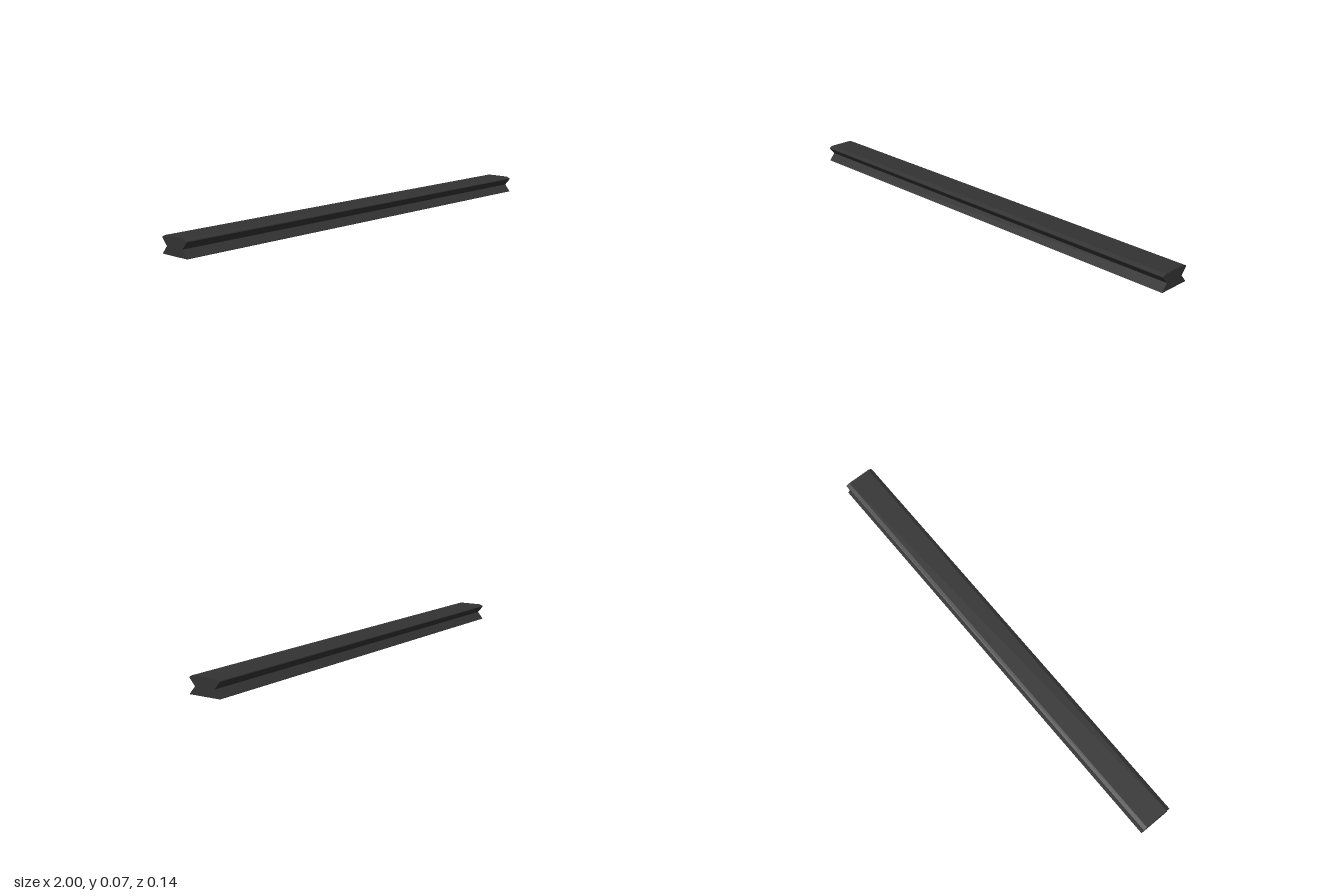
import * as THREE from 'three';

export function createModel() {
  const group = new THREE.Group();
  group.name = 'linearRail';

  // Half of the rail's cross-section, bottom to top: foot, V groove, rounded head
  const half = [
    [0.07, 0], [0.07, 0.002], [0.045, 0.032], [0.069, 0.06],
    [0.07, 0.062], [0.069, 0.065], [0.056, 0.071], [0.053, 0.072],
  ];
  const mirrored = half.map(([x, y]) => [-x, y]).reverse();
  const profile = new THREE.Shape([...half, ...mirrored].map(([x, y]) => new THREE.Vector2(x, y)));

  // Extrude along the rail's length and lay it along x
  const geometry = new THREE.ExtrudeGeometry(profile, { depth: 2, bevelEnabled: false });
  geometry.translate(0, 0, -1);
  geometry.rotateY(Math.PI / 2);

  const rail = new THREE.Mesh(geometry, new THREE.MeshStandardMaterial({ color: 0x333333 }));
  rail.name = 'rail';
  group.add(rail);
  return group;
}
